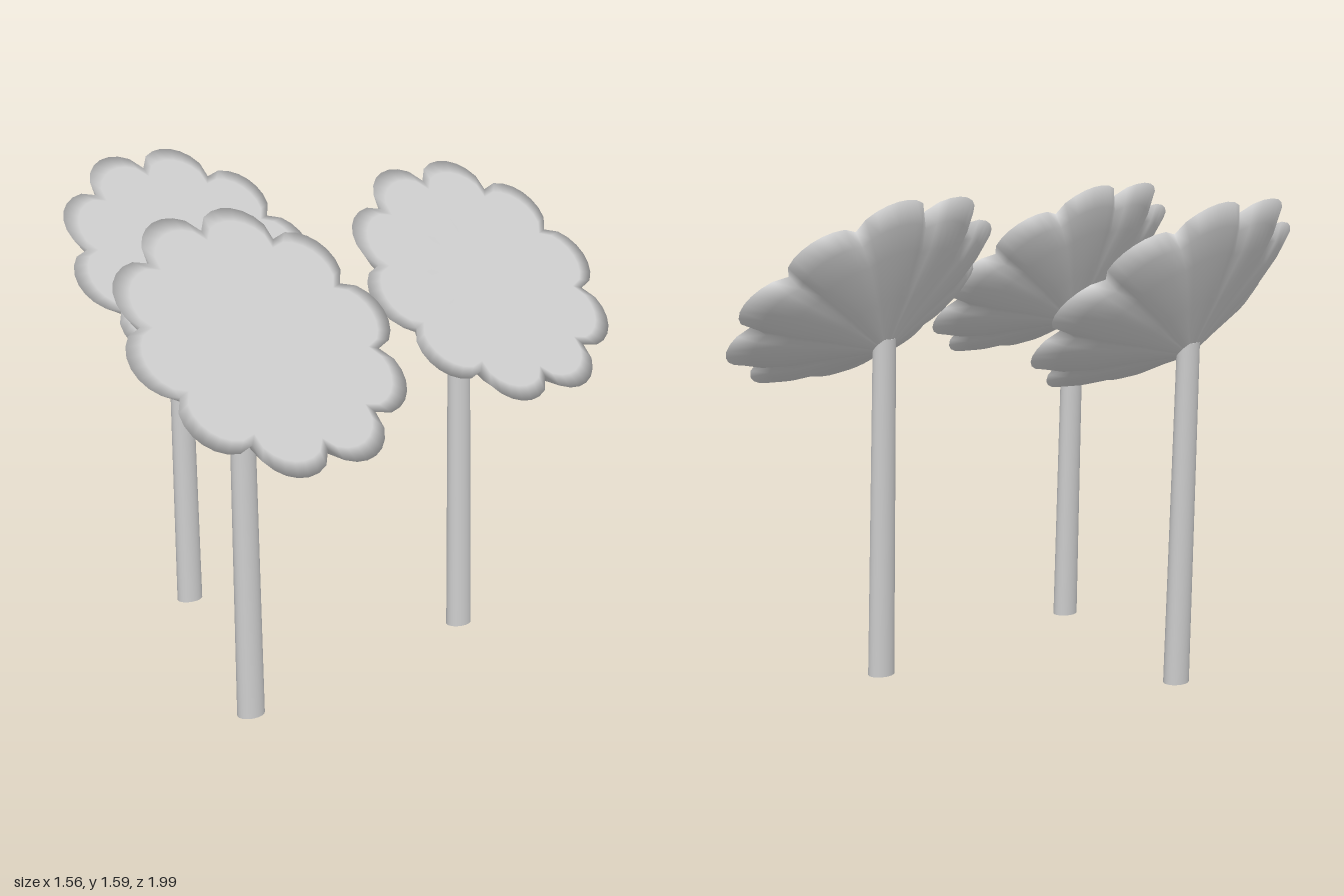
import * as THREE from 'three';

const PETALS = 10, SEGMENTS = 80;

// Cross-sections from the face centre, over the rim, to the tip of the back:
// [radius at the notches, extra radius at the petal tips, height, sideways shift]
const RINGS = [
  [0, 0, 0, 0],
  [0.2, 0.01, 0, 0],
  [0.365, 0.07, 0.004, 0],
  [0.405, 0.084, 0, 0],
  [0.375, 0.045, -0.045, 0],
  [0.31, 0.025, -0.088, 0],
  [0.17, 0.01, -0.145, 0.015],
  [0.035, 0, -0.2, 0.035],
  [0, 0, -0.203, 0.035],
];

// Scalloped flower head: flat face, thin rim, conical back
function headGeometry() {
  const positions = [], indices = [];
  for (const [base, petal, y, shift] of RINGS) {
    for (let j = 0; j < SEGMENTS; j++) {
      const a = (j / SEGMENTS) * Math.PI * 2;
      const r = base + petal * Math.pow(Math.abs(Math.sin(a * PETALS / 2)), 0.6);
      positions.push(shift + r * Math.cos(a), y, r * Math.sin(a));
    }
  }
  for (let i = 0; i < RINGS.length - 1; i++) {
    for (let j = 0; j < SEGMENTS; j++) {
      const k = (j + 1) % SEGMENTS;
      const a = i * SEGMENTS + j, b = i * SEGMENTS + k;
      const c = a + SEGMENTS, d = b + SEGMENTS;
      if (i > 0) indices.push(a, b, c);
      if (i < RINGS.length - 2) indices.push(b, d, c);
      else continue;
    }
  }
  const geometry = new THREE.BufferGeometry();
  geometry.setAttribute('position', new THREE.Float32BufferAttribute(positions, 3));
  geometry.setIndex(indices);
  geometry.computeVertexNormals();
  // Centre points share one straight normal
  for (let j = 0; j < SEGMENTS; j++) {
    geometry.attributes.normal.setXYZ(j, 0, 1, 0);
    geometry.attributes.normal.setXYZ((RINGS.length - 1) * SEGMENTS + j, 0, -1, 0);
  }
  return geometry;
}

export function createModel() {
  const model = new THREE.Group();
  model.name = 'flowers';
  const material = new THREE.MeshStandardMaterial({ color: 0xcccccc });
  const headShape = headGeometry();

  // Slightly oval, tapering stem standing on its base
  const stemShape = new THREE.CylinderGeometry(0.033, 0.038, 1.13, 24);
  stemShape.scale(1, 1, 1.27);
  stemShape.translate(0, 0.565, 0);

  // Head centre of each flower
  for (const [x, z] of [[-0.435, 0.085], [0.345, -0.51], [0.435, 0.505]]) {
    const flower = new THREE.Group();
    flower.name = 'flower';
    flower.position.set(x, 0, z);

    const head = new THREE.Mesh(headShape, material);
    head.name = 'flowerHead';
    head.position.y = 1.272;
    head.rotation.z = -0.746;

    const stem = new THREE.Mesh(stemShape, material);
    stem.name = 'stem';
    stem.position.set(-0.073, 0.002, 0);
    stem.rotation.z = 0.032;

    flower.add(head, stem);
    model.add(flower);
  }
  return model;
}
